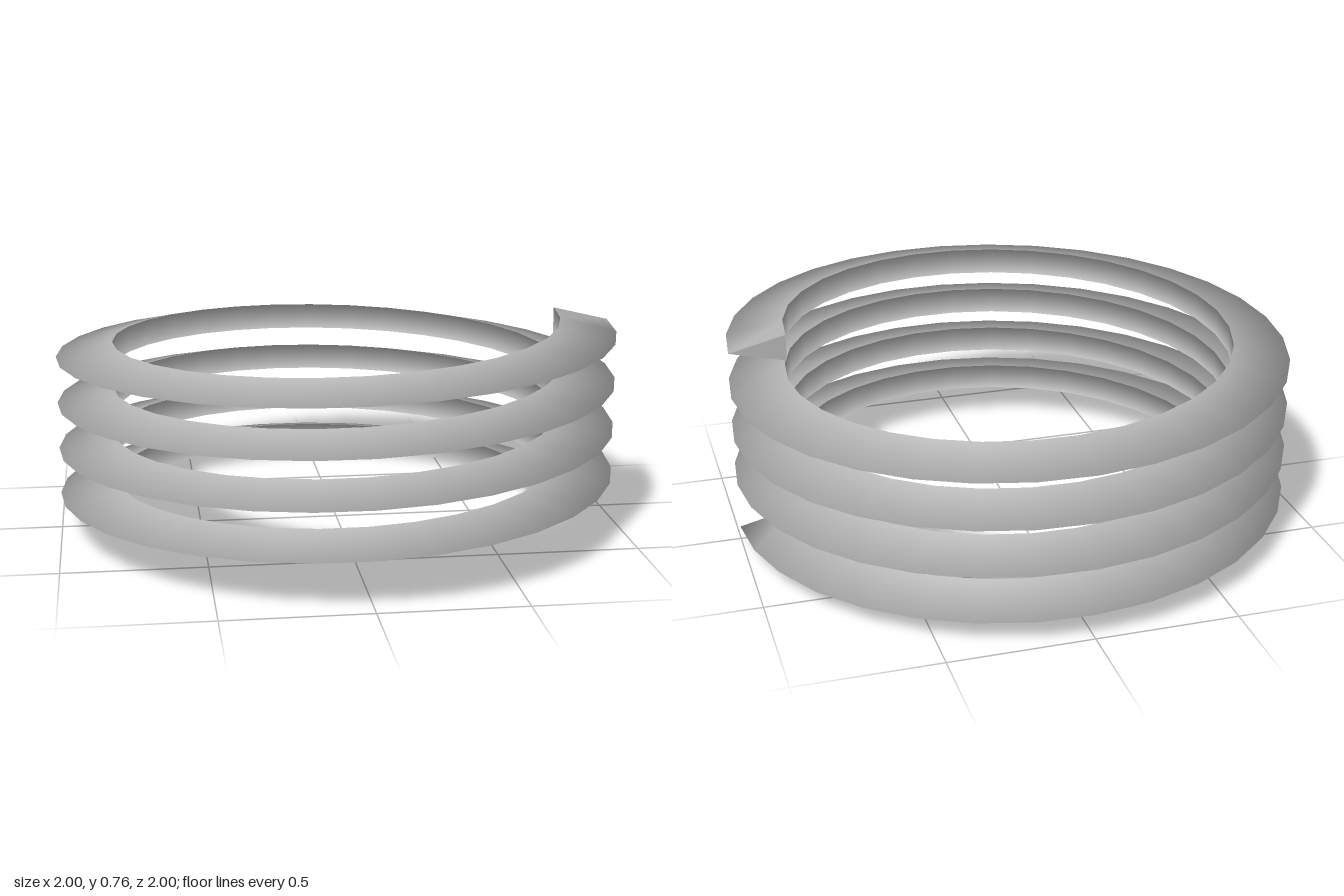
import * as THREE from 'three';

const TURNS = 4, STEPS = 32, PITCH = 0.167;
const INNER = 0.8, OUTER = 1, HALF = 0.048;

// Triangular section as [radius, height]: inner top, outer ridge, inner bottom
const SECTION = [[INNER, HALF], [OUTER, 0], [INNER, -HALF]];

// Upper slope, lower slope and inner wall; the wall is wound outward like the
// slopes, so the smooth normals lean outward, and it is seen from its back
const SIDES = [[0, 1], [1, 2], [0, 2]];

function sectionPoints(step) {
  const a = (step / STEPS) * Math.PI * 2;
  const y = HALF + (step / STEPS) * PITCH;
  return SECTION.map(([r, h]) => [r * Math.cos(a), y + h, -r * Math.sin(a)]);
}

function makeGeometry(points, index) {
  const geometry = new THREE.BufferGeometry();
  geometry.setAttribute('position', new THREE.Float32BufferAttribute(points.flat(), 3));
  geometry.setIndex(index);
  geometry.computeVertexNormals();
  return geometry;
}

export function createModel() {
  const group = new THREE.Group();
  group.name = 'helicalThread';
  const grey = new THREE.MeshStandardMaterial({ color: 0xb4b4b4, side: THREE.DoubleSide });
  grey.name = 'grey';

  const add = (name, geometry) => {
    const mesh = new THREE.Mesh(geometry, grey);
    mesh.name = name;
    group.add(mesh);
  };

  // Sweep the section up the helix
  const last = TURNS * STEPS;
  const points = [], index = [];
  for (let i = 0; i <= last; i++) {
    points.push(...sectionPoints(i));
    if (i === last) break;
    for (const [from, to] of SIDES) {
      const a = i * 3 + from, b = i * 3 + to;
      index.push(a, b, b + 3, a, b + 3, a + 3);
    }
  }
  add('threadCoil', makeGeometry(points, index));

  // Flat ends
  add('lowerEnd', makeGeometry(sectionPoints(0), [0, 2, 1]));
  add('upperEnd', makeGeometry(sectionPoints(last), [0, 1, 2]));
  return group;
}
